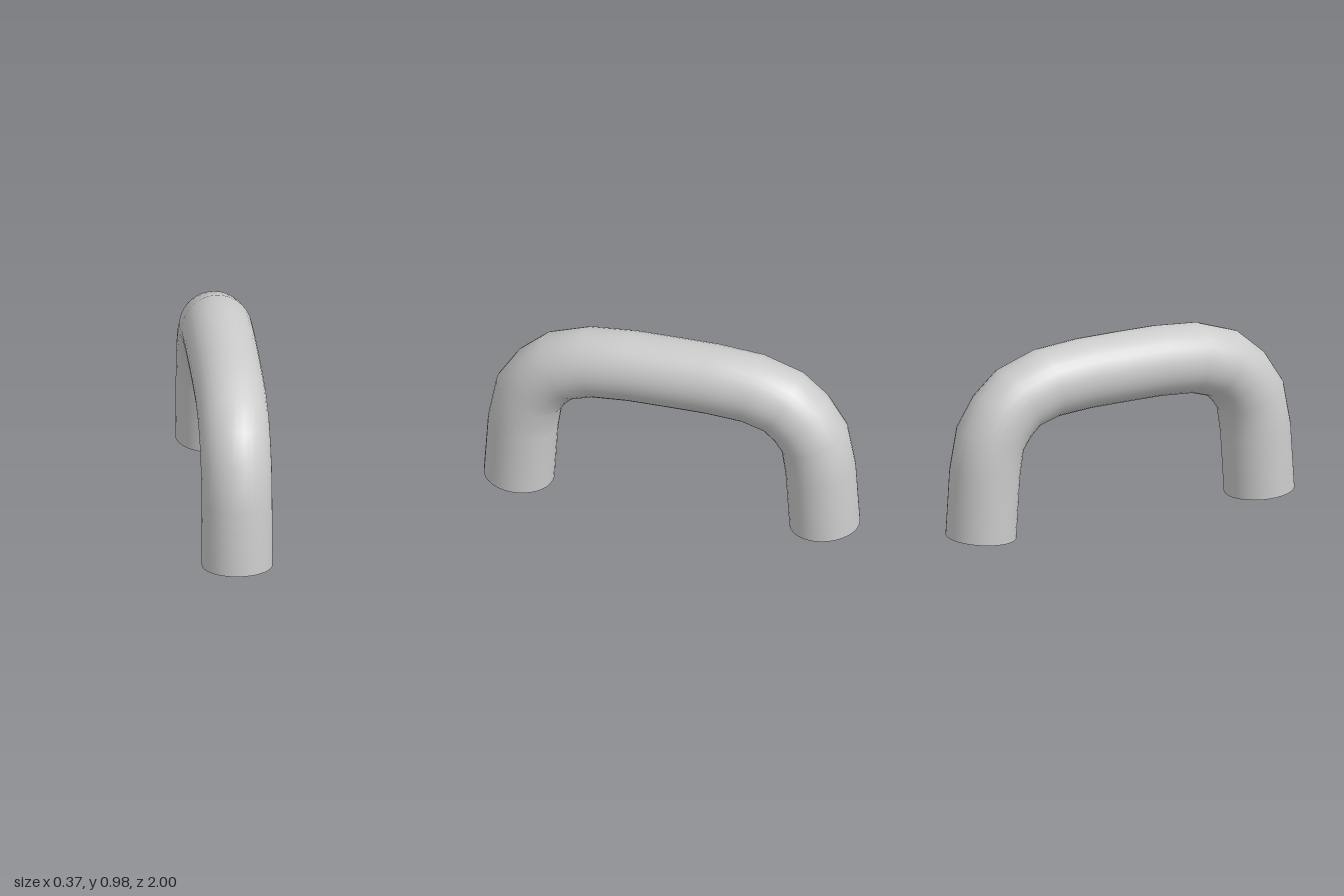
import * as THREE from 'three';

const RADIUS = 0.183;
const SIDES = 32;

// Curve whose rings fall exactly on its control points
class RingCurve extends THREE.CatmullRomCurve3 {
  getPointAt(u, target) { return this.getPoint(u, target); }
  getTangentAt(u, target) { return this.getTangent(u, target); }
}

export function createModel() {
  const group = new THREE.Group();
  group.name = 'archHandle';
  const material = new THREE.MeshStandardMaterial({ color: 0xcccccc, side: THREE.DoubleSide });

  // Centre line of the front half as [z, y], from foot to crown, mirrored to the back
  const half = [[0.817, 0.013], [0.795, 0.35], [0.763, 0.533], [0.692, 0.642],
    [0.598, 0.726], [0.432, 0.781], [0.215, 0.798]];
  const front = half.map(([z, y]) => new THREE.Vector3(0, y, z));
  const back = half.map(([z, y]) => new THREE.Vector3(0, y, -z)).reverse();
  const path = new RingCurve([...front, new THREE.Vector3(0, 0.799, 0), ...back]);

  // Bent round bar
  const bar = new THREE.Mesh(new THREE.TubeGeometry(path, path.points.length - 1, RADIUS, SIDES), material);
  bar.name = 'bentBar';
  group.add(bar);

  // Flat end faces, square to the bar
  for (const end of [0, 1]) {
    const cap = new THREE.Mesh(new THREE.CircleGeometry(RADIUS, SIDES), material);
    const outward = path.getTangent(end).multiplyScalar(end ? 1 : -1);
    cap.name = end ? 'backEndFace' : 'frontEndFace';
    cap.position.copy(path.getPoint(end));
    cap.quaternion.setFromUnitVectors(new THREE.Vector3(0, 0, 1), outward);
    group.add(cap);
  }
  return group;
}
